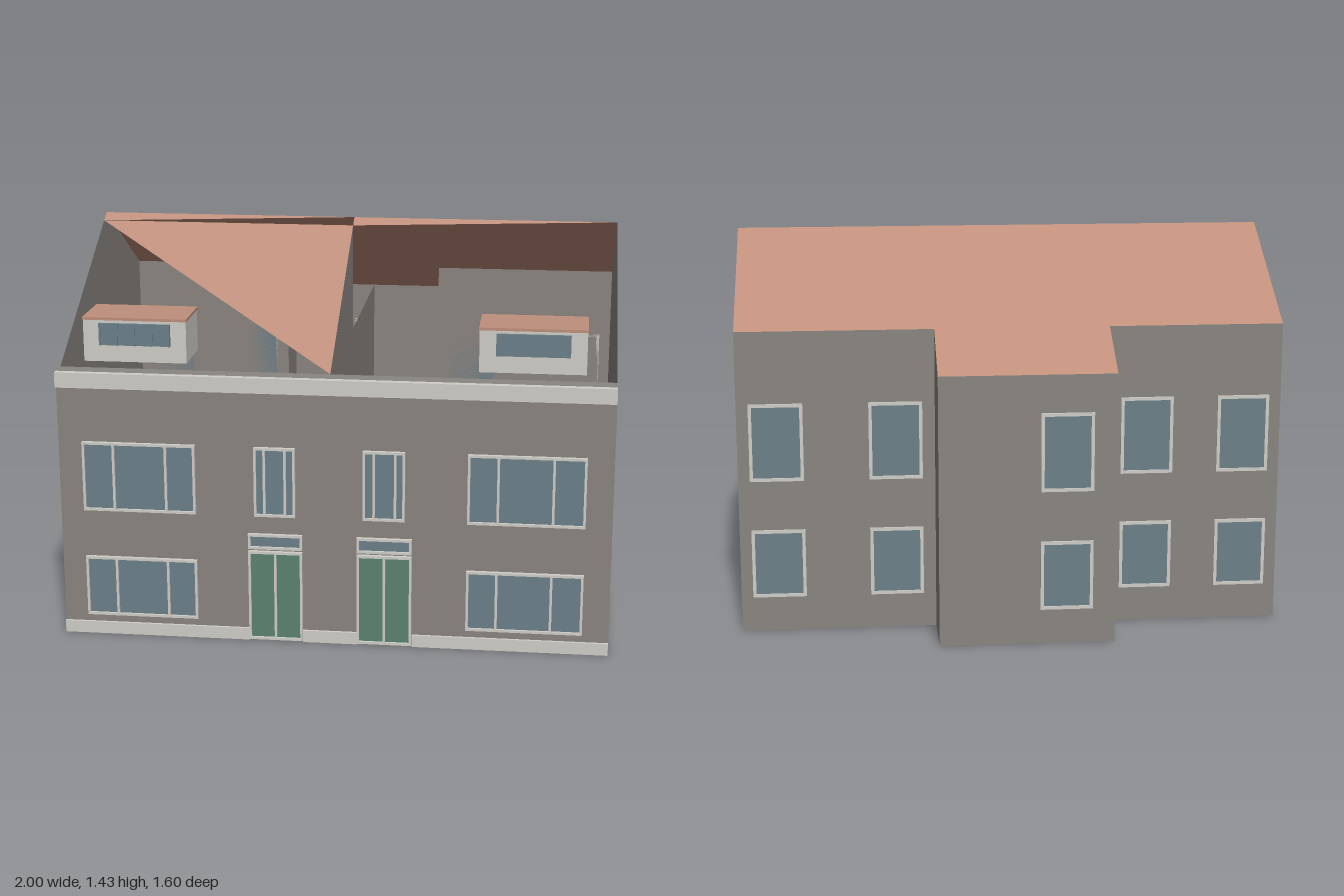
import * as THREE from 'three';

const material = (name, color, side = THREE.FrontSide) => {
  const m = new THREE.MeshStandardMaterial({ color, side });
  m.name = name;
  return m;
};

export function createModel() {
  const house = new THREE.Group();
  house.name = 'house';
  const wall = material('grey wall', 0x8a8580, THREE.DoubleSide);
  const roof = material('clay roof', 0xbf8f7c, THREE.DoubleSide);
  const trim = material('pale trim', 0xd0cec8);
  const glass = material('window glass', 0x6c8089);
  const green = material('green door', 0x5c8270);

  const add = (name, geometry, mat, parent = house) => {
    const mesh = new THREE.Mesh(geometry, mat);
    mesh.name = name;
    parent.add(mesh);
    return mesh;
  };
  // Box given by its limits on each axis
  const box = (name, x0, x1, y0, y1, z0, z1, mat, parent) => {
    const g = new THREE.BoxGeometry(x1 - x0, y1 - y0, z1 - z0);
    g.translate((x0 + x1) / 2, (y0 + y1) / 2, (z0 + z1) / 2);
    return add(name, g, mat, parent);
  };
  const outline = pts => new THREE.ShapeGeometry(new THREE.Shape(pts.map(p => new THREE.Vector2(...p))));
  // Upright sheet facing sideways, from [z, y] points
  const sideSheet = (name, x, pts) =>
    add(name, outline(pts).rotateY(-Math.PI / 2).translate(x, 0, 0), wall);
  // Upright sheet facing front or back
  const frontSheet = (name, x0, x1, y1, z) =>
    add(name, outline([[x0, 0], [x1, 0], [x1, y1], [x0, y1]]).translate(0, 0, z), wall);
  // Sheet from [x, z] points with its height given by a rule
  const planSheet = (name, pts, height, mat) => {
    const g = outline(pts), p = g.attributes.position;
    for (let i = 0; i < p.count; i++) {
      const z = p.getY(i);
      p.setXYZ(i, p.getX(i), height(z), z);
    }
    g.computeVertexNormals();
    return add(name, g, mat);
  };

  const FRONT = 0.78, EAVE = 0.71, RIDGE = -0.043, BACK = -0.572, WING = -0.795;
  const WX0 = -0.36, WX1 = 0.28, MID = -0.015;
  const roofY = z => 1.432 - 0.573 * Math.abs(z - RIDGE);

  // Walls, floor and inner party wall
  for (const x of [-1, 1]) {
    sideSheet('gableWall', x, [[FRONT, 0], [FRONT, 1], [EAVE, 1], [RIDGE, roofY(RIDGE)], [BACK, roofY(BACK)], [BACK, 0]]);
  }
  for (const x of [WX0, WX1]) {
    sideSheet('wingSideWall', x, [[BACK, 0], [BACK, roofY(BACK)], [WING, roofY(WING)], [WING, 0]]);
  }
  sideSheet('partyWall', MID, [[FRONT, 0], [FRONT, 1], [EAVE, 1], [0, roofY(0)], [0, 1], [WING, 1], [WING, 0]]);
  frontSheet('frontWall', -1, 1, 1, FRONT);
  frontSheet('backWallRight', -1, WX0, roofY(BACK), BACK);
  frontSheet('backWallLeft', WX1, 1, roofY(BACK), BACK);
  frontSheet('wingBackWall', WX0, WX1, roofY(WING), WING);
  const backEdge = [[1, BACK], [WX1, BACK], [WX1, WING], [WX0, WING], [WX0, BACK], [-1, BACK]];
  planSheet('floor', [[-1, FRONT], [1, FRONT], ...backEdge], () => 0, wall);
  planSheet('wallTop', [[-1, EAVE], [1, EAVE], [1, FRONT], [-1, FRONT]], () => 1, wall);

  // Roof: whole at the back, only partly covered at the front
  planSheet('backRoof', [[-1, RIDGE], [1, RIDGE], ...backEdge], roofY, roof);
  planSheet('frontRoofPanel', [[-1, 0], [MID, 0], [MID, EAVE]], roofY, roof);
  planSheet('ridgeStripRight', [[-1, RIDGE], [MID, RIDGE], [-1, 0]], roofY, roof);
  planSheet('ridgeStripLeft', [[MID, RIDGE], [1, RIDGE], [MID, 0]], roofY, roof);

  // Cornice and plinth
  box('cornice', -1, 1, 0.945, 1.001, FRONT - 0.005, 0.8, trim);
  for (const [a, b] of [[-1, -0.308], [-0.11, 0.088], [0.29, 1]]) {
    box('plinth', a, b, 0, 0.045, FRONT, 0.79, trim);
  }

  // Framed opening: dir is +1 on the front and -1 on the back
  const opening = (name, x0, x1, y0, y1, z, dir, bars = [], fill = glass, f = 0.009, depth = 0.015) => {
    const g = new THREE.Group();
    g.name = name;
    house.add(g);
    const slab = (part, a, b, c, d, t, mat) =>
      box(part, a, b, c, d, Math.min(z, z + dir * t), Math.max(z, z + dir * t), mat, g);
    slab('pane', x0 + f / 2, x1 - f / 2, y0 + f / 2, y1 - f / 2, depth * 0.4, fill);
    slab('frameBottom', x0, x1, y0, y0 + f, depth, trim);
    slab('frameTop', x0, x1, y1 - f, y1, depth, trim);
    for (const x of [x0, x1 - f]) slab('frameSide', x, x + f, y0 + f, y1 - f, depth, trim);
    for (const x of bars) slab('mullion', x - f / 2, x + f / 2, y0 + f, y1 - f, depth, trim);
  };

  // Front windows
  for (const [y0, y1] of [[0.075, 0.303], [0.482, 0.742]]) {
    opening('wideWindow', -0.912, -0.498, y0, y1, FRONT, 1, [-0.797, -0.606]);
    opening('wideWindow', 0.485, 0.905, y0, y1, FRONT, 1, [0.594, 0.79]);
  }
  opening('narrowWindow', -0.284, -0.134, 0.482, 0.742, FRONT, 1, [-0.246, -0.171]);
  opening('narrowWindow', 0.11, 0.262, 0.482, 0.742, FRONT, 1, [0.15, 0.227]);

  // Double doors with fanlights
  for (const [x0, x1] of [[-0.308, -0.11], [0.088, 0.288]]) {
    opening('doubleDoor', x0, x1, 0.005, 0.348, FRONT, 1, [(x0 + x1) / 2], green);
    opening('fanlight', x0, x1, 0.357, 0.414, FRONT, 1);
  }

  // Back windows
  for (const [y0, y1] of [[0.13, 0.387], [0.573, 0.862]]) {
    for (const [x0, x1] of [[-0.957, -0.765], [-0.6, -0.406], [0.326, 0.522], [0.76, 0.957]]) {
      opening('backWindow', x0, x1, y0, y1, BACK, -1, [], glass, 0.012, 0.007);
    }
    opening('wingWindow', -0.278, -0.087, y0, y1, WING, -1, [], glass, 0.012, 0.007);
  }

  // Dormers
  for (const [x0, x1] of [[-0.904, -0.53], [0.515, 0.892]]) {
    box('dormerBody', x0, x1, 1.03, 1.182, 0.527, 0.733, trim);
    box('dormerRoof', x0 - 0.002, x1 + 0.002, 1.182, 1.192, 0.525, 0.735, roof);
    const a = x0 + 0.062, b = x1 - 0.06, step = (b - a) / 4;
    for (let i = 0; i < 4; i++) {
      box('dormerPane', a + i * step + 0.003, a + (i + 1) * step - 0.003, 1.092, 1.172, 0.733, 0.742, glass);
    }
    for (let i = 0; i < 5; i++) {
      box('dormerBar', a + i * step - 0.003, a + i * step + 0.003, 1.092, 1.172, 0.733, 0.746, glass);
    }
  }
  return house;
}
